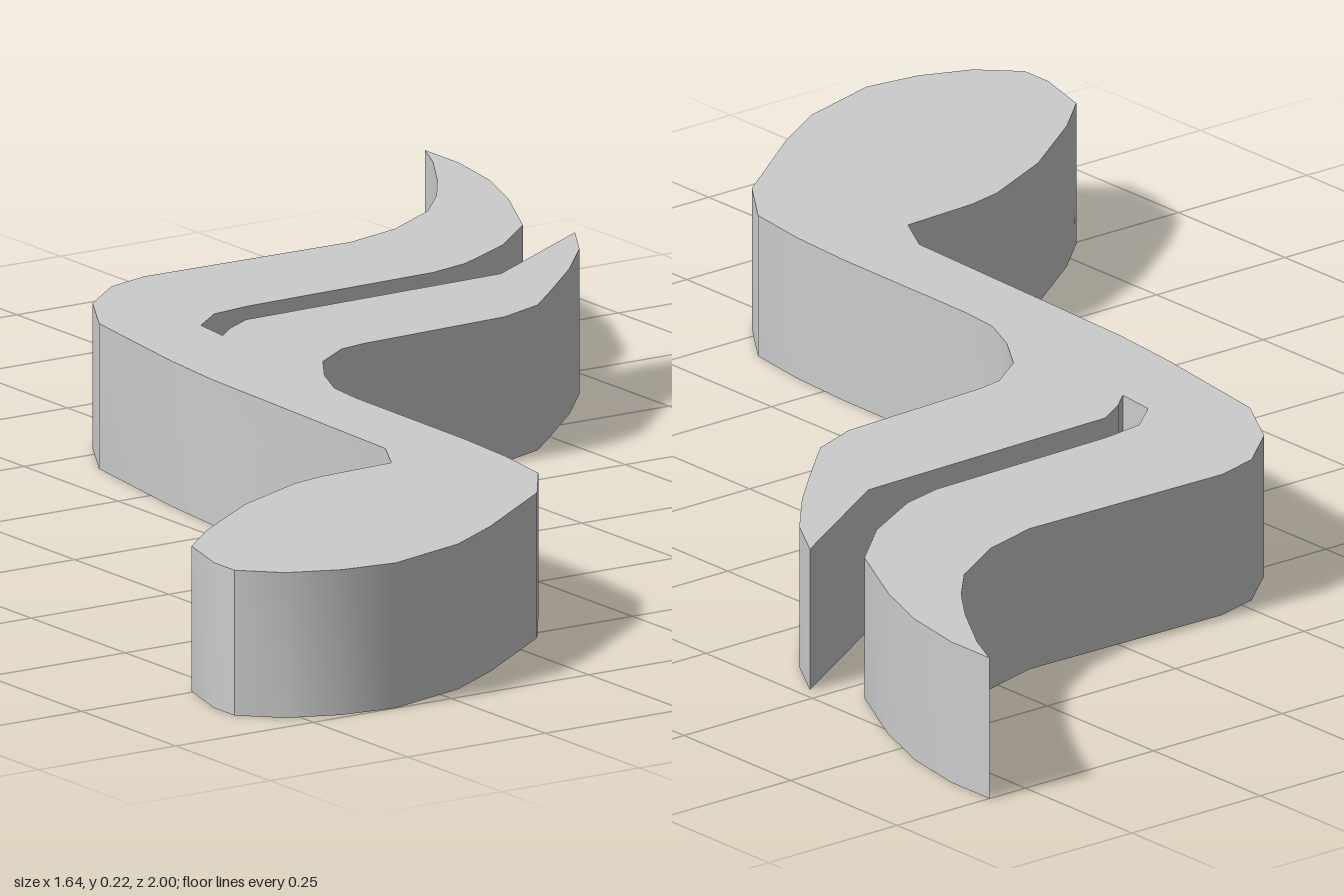
import * as THREE from 'three';
import { toCreasedNormals } from 'three/addons/utils/BufferGeometryUtils.js';

const HEIGHT = 0.225;

// Plan outline as [x, z] points, one list per stretch, running round the note
const upperFlagInner = [
  [0.82, -1], [0.82, -0.91], [0.8, -0.8], [0.76, -0.69], [0.69, -0.55], [0.6, -0.47],
  [0.49, -0.41], [0.42, -0.393], [0.08, -0.385], [0.01, -0.375], [-0.045, -0.33], [-0.052, -0.262],
];
const lowerFlag = [
  [-0.02, -0.29], [0.03, -0.32], [0.5, -0.33], [0.73, -0.47], [0.68, -0.385], [0.6, -0.295],
  [0.5, -0.2], [0.44, -0.145], [0.36, -0.115], [0.095, -0.103], [0.05, -0.095], [-0.015, -0.05],
];
const stemRight = [
  [-0.06, 0.02], [-0.09, 0.09], [-0.097, 0.16], [-0.1, 0.45], [-0.107, 0.57], [-0.123, 0.68],
];
const noteHead = [
  [-0.19, 0.775], [-0.36, 0.9], [-0.46, 0.96], [-0.6, 1], [-0.69, 0.988], [-0.77, 0.955],
  [-0.825, 0.9], [-0.825, 0.845], [-0.797, 0.745], [-0.725, 0.68], [-0.59, 0.585],
  [-0.46, 0.525], [-0.4, 0.512], [-0.27, 0.505],
];
const stemLeft = [
  [-0.23, 0.43], [-0.213, -0.06], [-0.2, -0.19], [-0.165, -0.425], [-0.105, -0.53],
];
const upperFlagOuter = [
  [-0.025, -0.597], [0.05, -0.618], [0.42, -0.612], [0.52, -0.64], [0.62, -0.7],
  [0.68, -0.765], [0.73, -0.835], [0.79, -0.935],
];

export function createModel() {
  const group = new THREE.Group();
  group.name = 'musicNote';

  const outline = [
    ...upperFlagInner, ...lowerFlag, ...stemRight, ...noteHead, ...stemLeft, ...upperFlagOuter,
  ];
  const shape = new THREE.Shape(outline.map(([x, z]) => new THREE.Vector2(x, -z)));

  // Extrude the plan upwards; rounded sides are smooth, rims and tips stay sharp
  const geometry = new THREE.ExtrudeGeometry(shape, { depth: HEIGHT, bevelEnabled: false });
  geometry.rotateX(-Math.PI / 2);

  const note = new THREE.Mesh(
    toCreasedNormals(geometry, THREE.MathUtils.degToRad(40)),
    new THREE.MeshStandardMaterial({ color: 0xcccccc }),
  );
  note.name = 'noteBody';
  group.add(note);
  return group;
}
